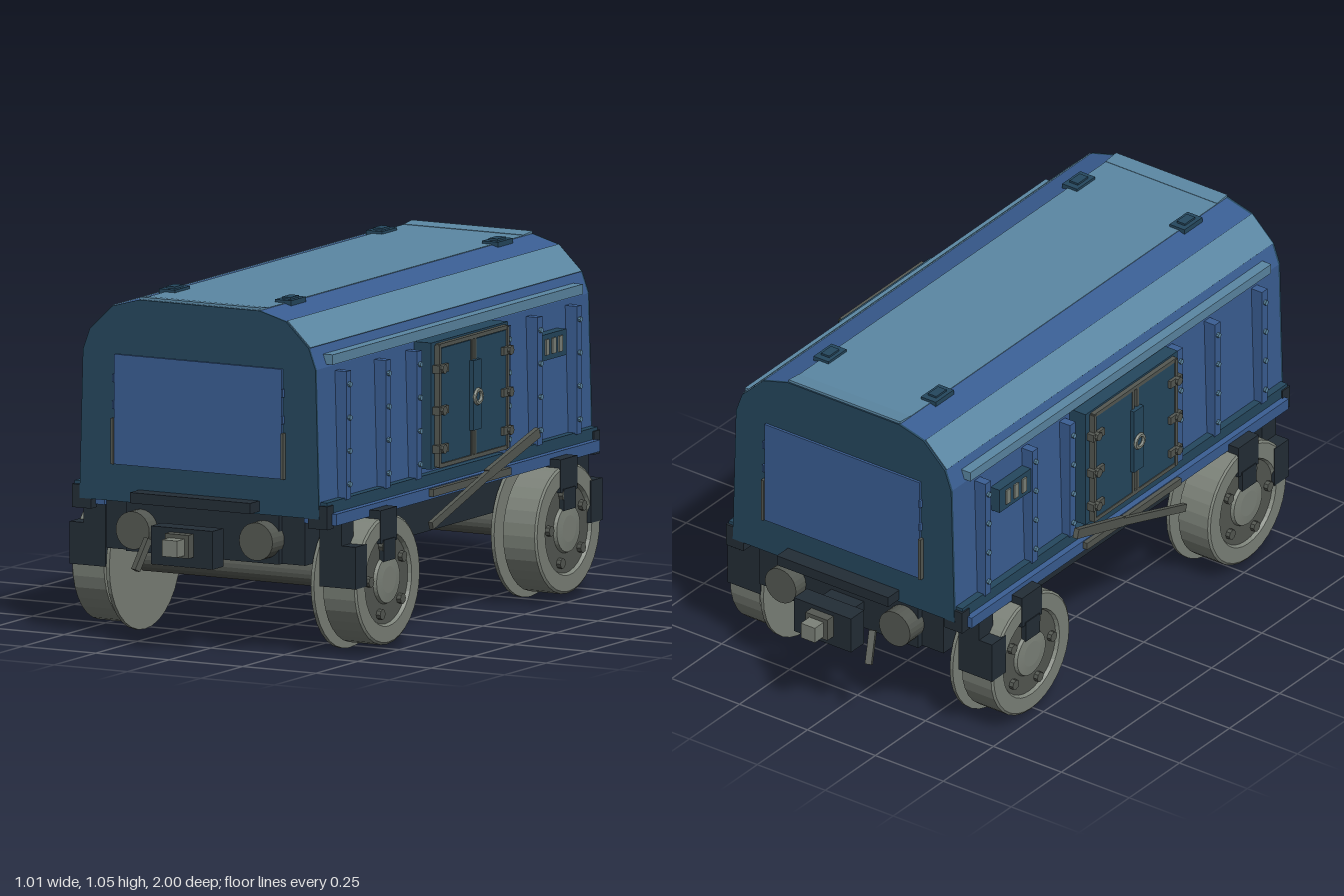
import * as THREE from 'three';

const mat = (name, color) => {
  const m = new THREE.MeshStandardMaterial({ color, flatShading: true });
  m.name = name;
  return m;
};

export function createModel() {
  const blue = mat('body blue', 0x3a5e93);
  const light = mat('roof light blue', 0x5b87a3);
  const teal = mat('dark teal', 0x25475e);
  const black = mat('underframe black', 0x232d36);
  const steel = mat('wheel steel', 0x7c8279);
  const iron = mat('dark iron', 0x545852);

  const root = new THREE.Group();
  root.name = 'coveredWagon';
  const add = (name, geo, material, x = 0, y = 0, z = 0) => {
    const m = new THREE.Mesh(geo, material);
    m.name = name;
    m.position.set(x, y, z);
    root.add(m);
    return m;
  };
  // Box given by its limits; reversed limits are allowed so sides can be mirrored
  const box = (name, material, x0, x1, y0, y1, z0, z1) =>
    add(name, new THREE.BoxGeometry(Math.abs(x1 - x0), Math.abs(y1 - y0), Math.abs(z1 - z0)),
      material, (x0 + x1) / 2, (y0 + y1) / 2, (z0 + z1) / 2);
  // Cylinder lying along x or z
  const rod = (name, material, r, len, axis, x, y, z, n = 16) => {
    const g = new THREE.CylinderGeometry(r, r, len, n);
    if (axis === 'x') g.rotateZ(Math.PI / 2); else g.rotateX(Math.PI / 2);
    return add(name, g, material, x, y, z);
  };
  // Rectangular bar between two points
  const bar = (name, material, a, b, w, h) => {
    const p = new THREE.Vector3(...a), q = new THREE.Vector3(...b);
    const m = add(name, new THREE.BoxGeometry(w, h, p.distanceTo(q)), material);
    m.position.copy(p).lerp(q, 0.5);
    m.lookAt(q);
    return m;
  };

  // Body with a faceted roof
  const half = [[0.408, 0.43], [0.396, 0.877], [0.373, 0.94], [0.295, 1.015], [0.205, 1.04]];
  const outline = [...half, ...half.map(([x, y]) => [-x, y]).reverse()].map(p => new THREE.Vector2(...p));
  const shell = (name, material, z0, z1) => add(name, new THREE.ExtrudeGeometry(
    new THREE.Shape(outline), { depth: z1 - z0, bevelEnabled: false }), material, 0, 0, z0);
  shell('body', blue, -0.812, 0.812);
  box('roofCrown', light, -0.205, 0.205, 1.034, 1.042, -0.815, 0.815);

  for (const e of [-1, 1]) {
    // End wall, panel and hinge bars
    shell('endWall', teal, e > 0 ? 0.812 : -0.82, e > 0 ? 0.82 : -0.812);
    const lip = box('roofLip', light, -0.205, 0.205, 1.04, 1.046, e * 0.765, e * 0.817);
    lip.rotation.x = -e * 0.1;
    box('endPanel', blue, -0.285, 0.285, 0.542, 0.872, e * 0.81, e * 0.828);
    for (const s of [-1, 1]) {
      box('panelHinge', iron, s * 0.285, s * 0.294, 0.542, 0.68, e * 0.81, e * 0.834);
      for (const y of [0.72, 0.8]) box('panelLatch', blue, s * 0.285, s * 0.291, y - 0.012, y + 0.012, e * 0.81, e * 0.832);
      // Round bumpers
      rod('bumper', iron, 0.057, 0.08, 'z', s * 0.21, 0.352, e * 0.81, 24);
      // Roof hatches
      box('roofHatch', teal, s * 0.17, s * 0.225, 1.03, 1.05, e * 0.575, e * 0.665);
      box('hatchCap', teal, s * 0.182, s * 0.212, 1.05, 1.056, e * 0.595, e * 0.645);
    }
    // Headstock and coupling
    box('endStep', black, -0.205, 0.205, 0.438, 0.47, e * 0.8, e * 0.875);
    box('headstock', black, -0.26, 0.26, 0.28, 0.44, e * 0.7, e * 0.8);
    box('couplerBody', black, -0.06, 0.06, 0.29, 0.37, e * 0.78, e * 0.87);
    box('couplerBox', black, -0.105, 0.105, 0.27, 0.385, e * 0.86, e * 0.925);
    box('couplerNeck', iron, -0.04, 0.04, 0.302, 0.372, e * 0.92, e * 0.955);
    box('couplerHead', steel, -0.026, 0.026, 0.31, 0.36, e * 0.95, e * 0.998);
    bar('couplerLever', iron, [-0.145, 0.335, e * 0.87], [-0.163, 0.245, e * 0.915], 0.02, 0.02);

    // Axle
    rod('axle', iron, 0.04, 0.74, 'x', 0, 0.217, e * 0.54, 20);
  }

  // Underframe
  box('underframe', black, -0.338, 0.338, 0.28, 0.43, -0.78, 0.78);

  // Wheel: inner flange, deep groove, tread and stepped outer face
  const wheelProfile = [[0.03, 0.343], [0.215, 0.343], [0.215, 0.354], [0.07, 0.354], [0.07, 0.373], [0.195, 0.373],
    [0.195, 0.48], [0.188, 0.485], [0.14, 0.485], [0.132, 0.472], [0.075, 0.472], [0.07, 0.485], [0.04, 0.488], [0.0001, 0.488]];
  const wheelGeo = s => {
    const g = new THREE.LatheGeometry(wheelProfile.map(p => new THREE.Vector2(...p)), 32);
    g.rotateZ(-Math.PI / 2);
    if (s < 0) g.rotateY(Math.PI);
    return g;
  };

  for (const s of [-1, 1]) {
    // Light roof facet and cornice rail
    const [a, b] = [half[2], half[3]];
    const facet = box('roofFacet', light, 0, Math.hypot(a[0] - b[0], a[1] - b[1]), 0, 0.006, -0.813, 0.813);
    facet.position.set(s * (a[0] + b[0]) / 2, (a[1] + b[1]) / 2, 0);
    facet.rotation.z = s * Math.atan2(b[1] - a[1], b[0] - a[0]);
    box('corniceRail', light, s * 0.38, s * 0.415, 0.885, 0.915, -0.75, 0.75);

    // Sill and running board
    box('sill', teal, s * 0.39, s * 0.43, 0.445, 0.48, -0.81, 0.81);
    box('runningBoard', blue, s * 0.34, s * 0.45, 0.41, 0.445, -0.79, 0.79);

    // Wall ribs with rivets
    for (const z of [-0.69, -0.455, -0.267, 0.267, 0.455, 0.69]) {
      box('wallRib', blue, s * 0.39, s * 0.436, 0.475, 0.86, z - 0.014, z + 0.014);
      for (const y of [0.52, 0.62, 0.72, 0.82]) rod('rivet', light, 0.008, 0.01, 'x', s * 0.439, y, z, 8);
    }

    // Double door with frame, hinges and handle
    box('door', teal, s * 0.39, s * 0.455, 0.5, 0.88, -0.23, 0.23);
    for (const d of [-1, 1]) {
      box('doorLeaf', teal, s * 0.45, s * 0.468, 0.515, 0.86, d * 0.012, d * 0.195);
      box('doorPost', iron, s * 0.45, s * 0.472, 0.505, 0.87, d * 0.197, d * 0.209);
      box('doorSeam', iron, s * 0.45, s * 0.47, 0.51, 0.865, d * 0.006, d * 0.016);
      for (const y of [0.56, 0.675, 0.8]) {
        box('hinge', iron, s * 0.45, s * 0.478, y - 0.012, y + 0.012, d * 0.165, d * 0.222);
        rod('hingePin', iron, 0.014, 0.03, 'x', s * 0.471, y, d * 0.2, 8);
      }
    }
    for (const y of [0.508, 0.868]) box('doorRail', iron, s * 0.45, s * 0.47, y - 0.006, y + 0.006, -0.205, 0.205);
    box('lockBar', teal, s * 0.45, s * 0.482, 0.59, 0.8, -0.024, 0.024);
    const ring = new THREE.TorusGeometry(0.02, 0.007, 6, 16).rotateY(Math.PI / 2);
    add('doorHandle', ring, steel, s * 0.484, 0.69, 0);
    box('doorStep', iron, s * 0.4, s * 0.465, 0.42, 0.442, -0.235, 0.235);

    // Vent with slats
    box('vent', teal, s * 0.39, s * 0.43, 0.722, 0.8, -0.625, -0.465);
    for (const z of [-0.585, -0.545, -0.505]) box('ventSlat', steel, s * 0.425, s * 0.435, 0.738, 0.785, z - 0.01, z + 0.01);

    // Brake lever and grip
    bar('brakeLever', iron, [s * 0.465, 0.335, 0.25], [s * 0.478, 0.455, -0.1], 0.014, 0.024);
    bar('brakeGrip', iron, [s * 0.475, 0.445, -0.07], [s * 0.497, 0.536, -0.335], 0.016, 0.03);

    for (const e of [-1, 1]) {
      // Wheels with bolts
      add('wheel', wheelGeo(s), steel, 0, 0.217, e * 0.54);
      rod('wheelDish', iron, 0.134, 0.006, 'x', s * 0.472, 0.217, e * 0.54, 32);
      for (let i = 0; i < 5; i++) {
        const t = i * Math.PI * 0.4 + 0.25;
        rod('wheelBolt', iron, 0.016, 0.018, 'x', s * 0.48, 0.217 + 0.107 * Math.cos(t), e * 0.54 + 0.107 * Math.sin(t), 8);
      }
      // Axle guard and brake shoe
      box('axleGuard', black, s * 0.36, s * 0.487, 0.33, 0.43, e * 0.49, e * 0.59);
      box('axleGuardTip', black, s * 0.47, s * 0.49, 0.275, 0.34, e * 0.505, e * 0.575);
      box('brakeHanger', black, s * 0.365, s * 0.44, 0.3, 0.44, e * 0.67, e * 0.74);
      box('brakeShoe', black, s * 0.365, s * 0.487, 0.215, 0.342, e * 0.67, e * 0.74);
      box('cornerBracket', black, s * 0.37, s * 0.435, 0.4, 0.47, e * 0.78, e * 0.818);
    }
  }
  return root;
}
